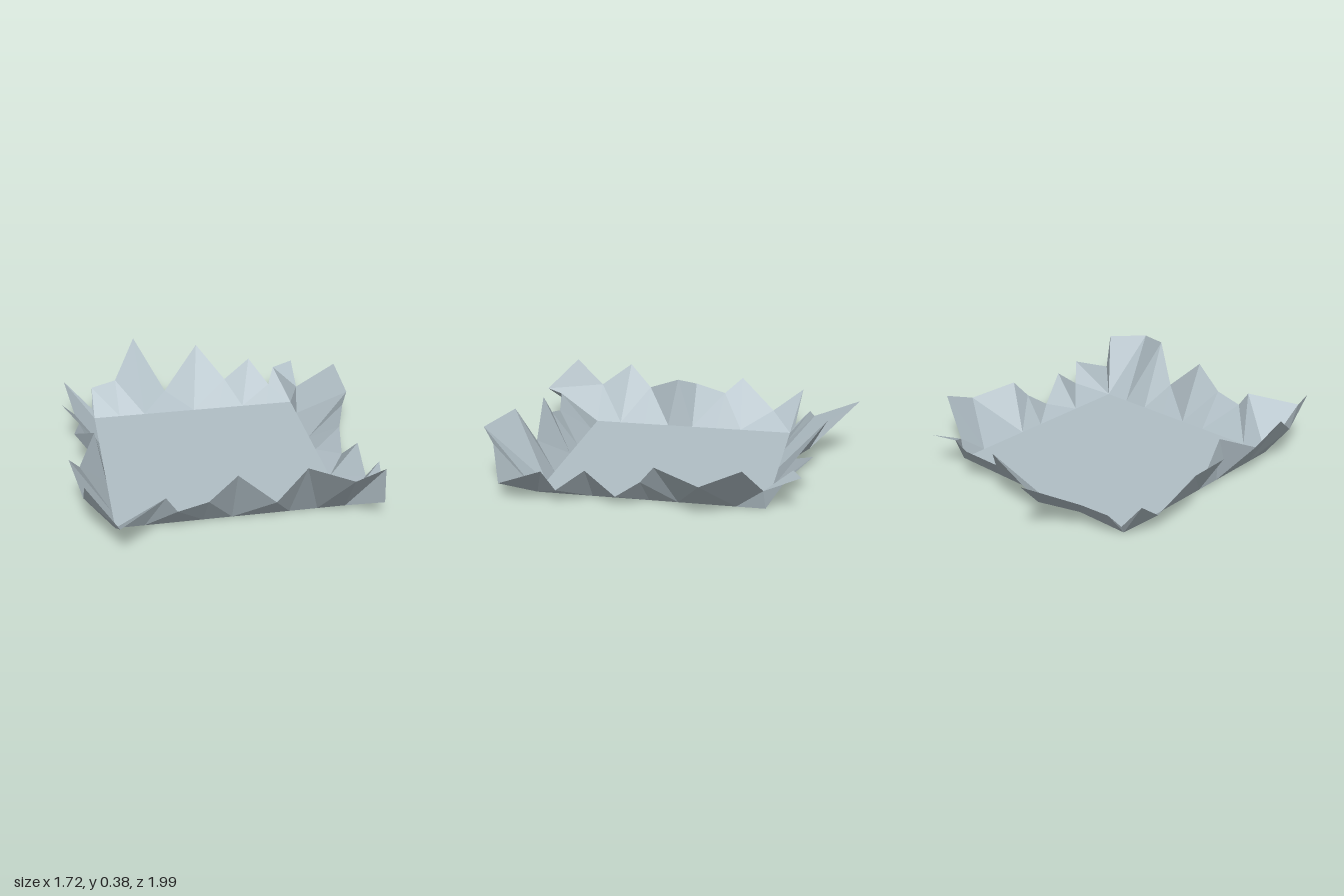
import * as THREE from 'three';

const X0 = -0.65, X1 = 0.59, Z0 = -0.57, Z1 = 0.67, STEPS = 8;

// Each side runs from one floor corner to the next, anticlockwise from above.
// "tips" are the jagged rim points, "corner" is the rim point after the side.
const sides = [
  {
    name: 'frontRim', from: [X0, Z1], to: [X1, Z1],
    tips: [[-0.65, 0.2, 0.99], [-0.4, 0.25, 0.825], [-0.34, 0.16, 0.82], [-0.18, 0.2, 0.82], [-0.03, 0.34, 0.82],
      [0.18, 0.145, 0.8], [0.32, 0.375, 0.87], [0.54, 0.335, 0.975], [0.74, 0.315, 0.85]],
    corner: [0.755, 0.1, 0.83],
  },
  {
    name: 'leftRim', from: [X1, Z1], to: [X1, Z0],
    tips: [[0.795, 0.2, 0.58], [0.745, 0.08, 0.52], [0.74, 0.2, 0.36], [0.7, 0.05, 0.21], [0.72, 0.15, 0.07],
      [0.755, 0.25, -0.01], [0.855, 0.2, -0.26], [0.83, 0.29, -0.475], [0.62, 0.11, -0.56]],
    corner: [0.63, 0.2, -0.755],
  },
  {
    name: 'backRim', from: [X1, Z0], to: [X0, Z0],
    tips: [[0.5, 0.19, -0.7], [0.46, 0.1, -0.645], [0.36, 0.22, -0.79], [0.185, 0.14, -0.685], [0.03, 0.32, -0.84],
      [-0.19, 0.07, -0.73], [-0.35, 0.325, -1], [-0.5, 0.17, -0.73], [-0.65, 0.15, -0.69]],
    corner: [-0.66, 0.05, -0.6],
  },
  {
    name: 'rightRim', from: [X0, Z0], to: [X0, Z1],
    tips: [[-0.82, 0.235, -0.63], [-0.775, 0.1, -0.45], [-0.855, 0.28, -0.24], [-0.765, 0.2, -0.14], [-0.805, 0.24, 0.05],
      [-0.7, 0.29, 0.15], [-0.8, 0.2, 0.35], [-0.86, 0.33, 0.49], [-0.805, 0.2, 0.67]],
    corner: [-0.805, 0.36, 0.83],
  },
];

const vec = (p) => new THREE.Vector3(...p);

// Adds quad a-b-c-d as two triangles, split along the shorter diagonal
function addQuad(points, a, b, c, d) {
  if (a.distanceTo(c) <= b.distanceTo(d)) points.push(a, b, c, a, c, d);
  else points.push(a, b, d, b, c, d);
}

export function createModel() {
  const group = new THREE.Group();
  group.name = 'jaggedTray';
  const material = new THREE.MeshStandardMaterial({ color: 0xb0bec5, flatShading: true, side: THREE.DoubleSide });
  material.name = 'paleBlueGrey';

  function addMesh(name, points) {
    const geometry = new THREE.BufferGeometry().setFromPoints(points);
    geometry.computeVertexNormals();
    const mesh = new THREE.Mesh(geometry, material);
    mesh.name = name;
    group.add(mesh);
  }

  // Flat square floor
  const floor = [];
  addQuad(floor, vec([X0, 0, Z0]), vec([X0, 0, Z1]), vec([X1, 0, Z1]), vec([X1, 0, Z0]));
  addMesh('floor', floor);

  // Flaring torn rim, one strip per side
  sides.forEach((side, s) => {
    const start = vec([side.from[0], 0, side.from[1]]);
    const end = vec([side.to[0], 0, side.to[1]]);
    const base = (i) => start.clone().lerp(end, i / STEPS);
    const tips = side.tips.map(vec);
    const points = [];
    for (let i = 0; i < STEPS; i++) addQuad(points, base(i), tips[i], tips[i + 1], base(i + 1));
    // Corner gusset joining the next side
    const nextTip = vec(sides[(s + 1) % sides.length].tips[0]);
    addQuad(points, end, tips[STEPS], vec(side.corner), nextTip);
    addMesh(side.name, points);
  });

  return group;
}
